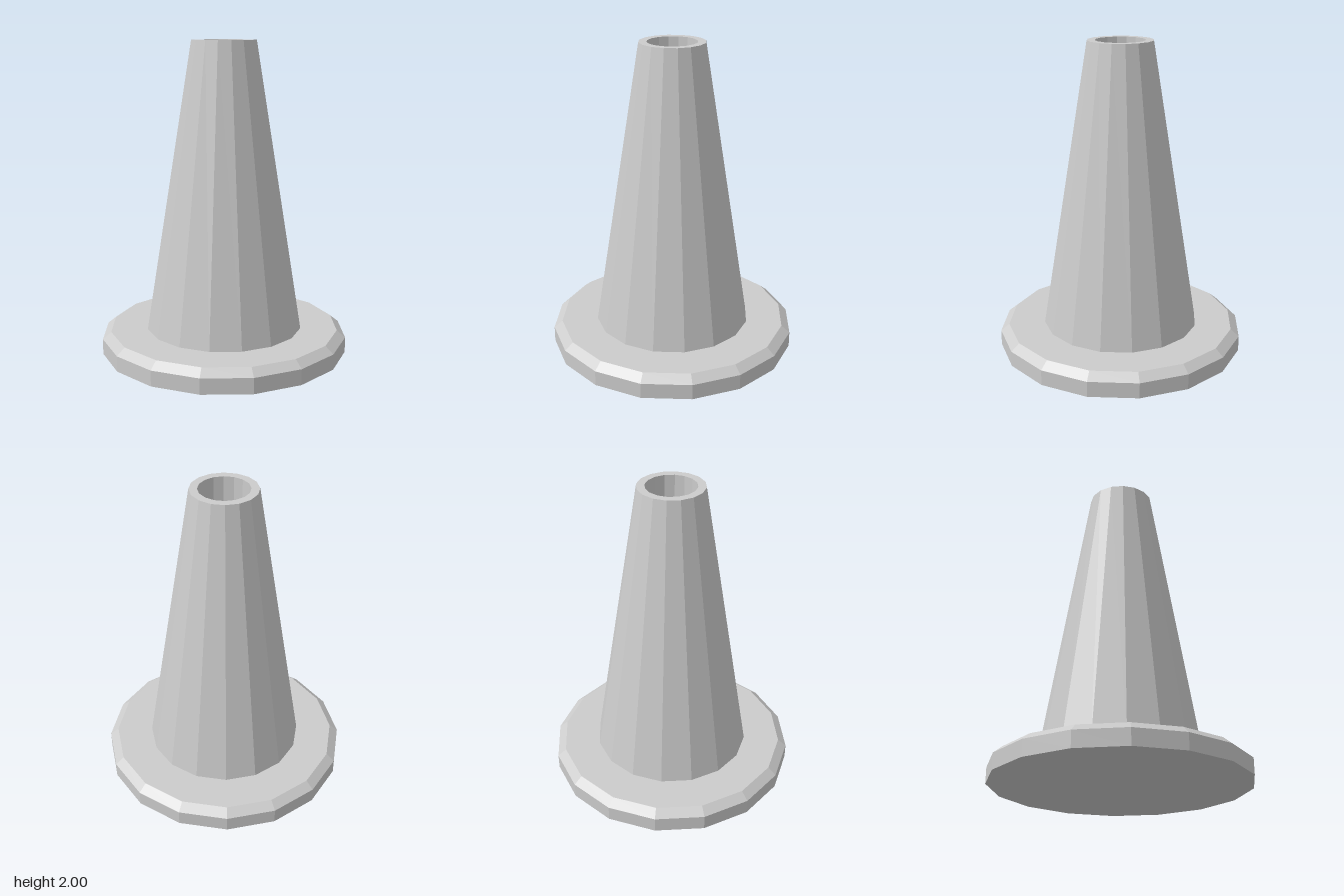
import * as THREE from 'three';

const SIDES = 16;

// Faceted solid of revolution from [radius, height] pairs
function turned(name, profile) {
  const points = profile.map(([r, y]) => new THREE.Vector2(r, y));
  const geometry = new THREE.LatheGeometry(points, SIDES).toNonIndexed();
  geometry.computeVertexNormals();
  const material = new THREE.MeshStandardMaterial({ color: 0xcccccc, flatShading: true });
  const mesh = new THREE.Mesh(geometry, material);
  mesh.name = name;
  return mesh;
}

export function createModel() {
  const group = new THREE.Group();
  group.name = 'trafficCone';

  // Round foot with a chamfered upper rim; its top also closes the bore
  group.add(turned('base', [[0, 0], [0.8, 0], [0.8, 0.1], [0.745, 0.145], [0, 0.145]]));

  // Tapered wall, flat lip and straight bore
  group.add(turned('coneBody', [[0.508, 0.145], [0.207, 2], [0.157, 2], [0.157, 0.145]]));

  return group;
}
